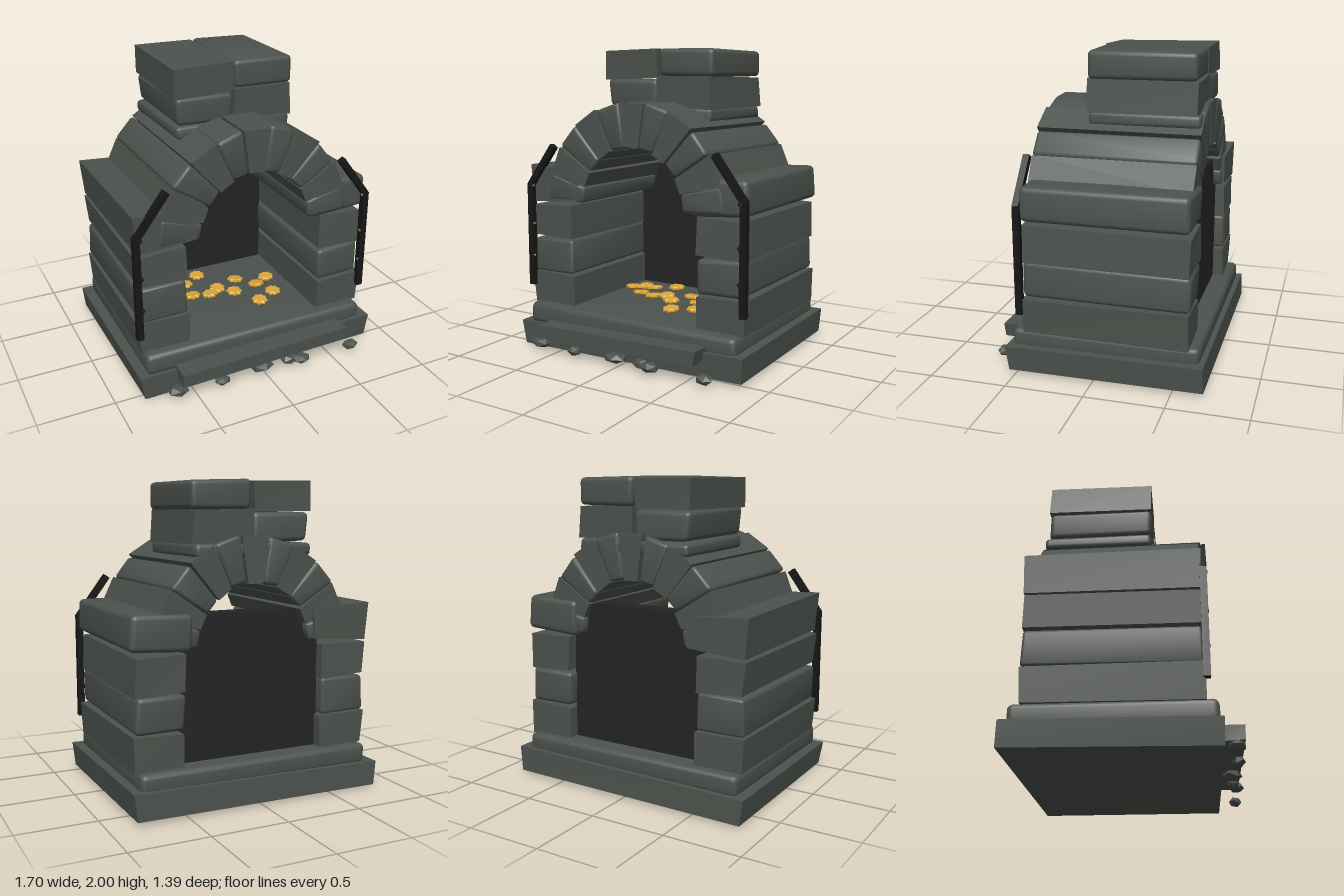
import * as THREE from 'three';
import { toCreasedNormals } from 'three/addons/utils/BufferGeometryUtils.js';
import { RoundedBoxGeometry } from 'three/addons/geometries/RoundedBoxGeometry.js';

export function createModel() {
  const root = new THREE.Group();
  const mat = (name, color) => {
    const m = new THREE.MeshStandardMaterial({ color });
    m.name = name;
    return m;
  };
  const stoneMat = mat('stone grey', 0x4c524d);
  const sootMat = mat('soot black', 0x242424);
  const ironMat = mat('iron black', 0x161616);
  const goldMat = mat('gold', 0xd9a63a);

  let seed = 7;
  const rand = () => {
    seed = (seed * 16807) % 2147483647;
    return seed / 2147483647;
  };
  const add = (name, geo, material) => {
    const m = new THREE.Mesh(geo, material);
    m.name = name;
    root.add(m);
    return m;
  };

  // A hewn stone: a box (sharp or rounded) bent onto a front outline
  // [bottom left, bottom right, top right, top left] between two depths.
  function stone(name, quad, z0, z1, round = 0, wobble = 0.007) {
    const [a, b, c, d] = quad;
    const dist = (p, q) => Math.hypot(p[0] - q[0], p[1] - q[1]);
    const w = (dist(a, b) + dist(d, c)) / 2, h = (dist(a, d) + dist(b, c)) / 2, l = z1 - z0;
    const geo = round ? new RoundedBoxGeometry(w, h, l, 3, round) : new THREE.BoxGeometry(w, h, l);
    const shake = () => (rand() - 0.5) * 2 * wobble;
    const corners = [z0, z1].map(z => quad.map(p =>
      new THREE.Vector3(p[0] + shake(), p[1] + shake(), z + shake())));
    const pos = geo.attributes.position, v = new THREE.Vector3();
    for (let i = 0; i < pos.count; i++) {
      const u = pos.getX(i) / w + 0.5, t = pos.getY(i) / h + 0.5, s = pos.getZ(i) / l + 0.5;
      const weights = [(1 - u) * (1 - t), u * (1 - t), u * t, (1 - u) * t];
      v.set(0, 0, 0);
      corners.forEach((ring, k) => ring.forEach((p, j) =>
        v.addScaledVector(p, weights[j] * (k ? s : 1 - s))));
      pos.setXYZ(i, v.x, v.y, v.z);
    }
    return add(name, toCreasedNormals(geo, 0.6), stoneMat);
  }
  const rect = (x0, y0, x1, y1) => [[x0, y0], [x1, y0], [x1, y1], [x0, y1]];

  // Plinth, hearth slab and front step
  stone('plinth', [[-0.82, 0.005], [0.83, 0.02], [0.845, 0.185], [-0.85, 0.165]], -0.695, 0.55, 0, 0.01);
  stone('hearthSlab', [[-0.785, 0.15], [0.785, 0.16], [0.785, 0.285], [-0.785, 0.29]], -0.66, 0.53, 0.035, 0.004);
  stone('frontStep', [[-0.6, 0.1], [0.58, 0.12], [0.59, 0.215], [-0.6, 0.19]], 0.5, 0.67);

  // Side walls, from the bottom course up
  const courses = [
    ['leftWallStone', [[0.48, 0.27], [0.805, 0.27], [0.81, 0.5], [0.48, 0.49]], 0],
    ['leftWallStone', [[0.475, 0.5], [0.79, 0.5], [0.79, 0.735], [0.475, 0.725]], 0.03],
    ['leftWallStone', [[0.48, 0.74], [0.79, 0.73], [0.785, 0.96], [0.475, 0.975]], 0],
    ['leftWallStone', [[0.42, 0.97], [0.815, 0.995], [0.81, 1.215], [0.42, 1.21]], 0.035],
    ['rightWallStone', [[-0.79, 0.28], [-0.465, 0.28], [-0.465, 0.49], [-0.81, 0.5]], 0],
    ['rightWallStone', [[-0.795, 0.505], [-0.475, 0.5], [-0.475, 0.735], [-0.795, 0.73]], 0.02],
    ['rightWallStone', [[-0.785, 0.75], [-0.47, 0.74], [-0.475, 0.96], [-0.805, 0.955]], 0],
    ['rightWallStone', [[-0.795, 0.98], [-0.42, 1.0], [-0.42, 1.2], [-0.82, 1.225]], 0],
  ];
  courses.forEach(([name, quad, round]) => stone(name, quad, -0.595, 0.455, round));

  // Barrel arch of full-depth wedge stones
  const count = 11, inner = 0.38, outer = 0.665;
  for (let i = 0; i < count; i++) {
    const a0 = (i / count) * Math.PI + 0.006, a1 = ((i + 1) / count) * Math.PI - 0.006;
    const at = (r, a) => [r * Math.cos(a), 0.995 + r * Math.sin(a)];
    const r = outer + (rand() - 0.5) * 0.02;
    stone('archStone', [at(inner, a1), at(inner, a0), at(r, a0), at(r, a1)],
      -0.575, 0.46, i % 2 ? 0 : 0.022, 0.006);
  }

  // Chimney: collar course and two courses of paired blocks
  stone('chimneyCollar', rect(-0.395, 1.53, -0.005, 1.61), -0.57, 0.14, 0.025);
  stone('chimneyCollar', rect(0.005, 1.53, 0.395, 1.61), -0.57, 0.14, 0.025);
  stone('chimneyStone', [[-0.38, 1.625], [-0.005, 1.615], [-0.005, 1.795], [-0.395, 1.8]], -0.54, 0.14, 0.03);
  stone('chimneyStone', [[0.0, 1.62], [0.405, 1.61], [0.39, 1.815], [0.005, 1.815]], -0.545, 0.145);
  stone('chimneyStone', [[-0.405, 1.8], [-0.01, 1.81], [-0.005, 1.99], [-0.41, 1.99]], -0.54, 0.14);
  stone('chimneyStone', [[0.01, 1.815], [0.41, 1.815], [0.41, 1.985], [0.005, 1.995]], -0.54, 0.14, 0.03, 0.004);

  // Sooty fireback
  add('fireback', new THREE.BoxGeometry(0.96, 0.91, 0.12), sootMat).position.set(0, 0.74, -0.465);

  // Iron rails with bent tops and rivets, mirrored
  for (const s of [-1, 1]) {
    const bar = (x0, y0, x1, y1) => {
      const len = Math.hypot(x1 - x0, y1 - y0);
      const m = add('ironRail', new THREE.BoxGeometry(0.042, len, 0.042), ironMat);
      m.position.set(s * (x0 + x1) / 2, (y0 + y1) / 2, 0.467);
      m.rotation.z = Math.atan2(-s * (x1 - x0), y1 - y0);
    };
    bar(0.805, 0.4, 0.805, 1.1);
    bar(0.81, 1.085, 0.605, 1.36);
    for (const y of [0.6, 0.82, 1.08]) {
      const m = add('rivet', new THREE.IcosahedronGeometry(0.02, 0), ironMat);
      m.position.set(s * 0.785, y, 0.475);
    }
  }

  // Scalloped gold pieces scattered on the hearth
  const coinSpots = [[-0.38, -0.13], [-0.31, -0.19], [-0.23, -0.18], [-0.1, -0.27], [-0.24, -0.02],
    [-0.12, 0.01], [-0.04, -0.04], [0.05, 0.05], [0.16, 0.23], [0.3, 0.16], [0.13, -0.1], [0.24, 0.02], [0.35, -0.04]];
  const coinShape = new THREE.Shape(Array.from({ length: 16 }, (_, i) => {
    const r = i % 2 ? 0.046 : 0.057, a = (i / 16) * Math.PI * 2;
    return new THREE.Vector2(r * Math.cos(a), r * Math.sin(a));
  }));
  const coinGeo = new THREE.ExtrudeGeometry(coinShape, {
    depth: 0.012, bevelThickness: 0.008, bevelSize: 0.008, bevelOffset: -0.008, bevelSegments: 1,
  }).rotateX(-Math.PI / 2);
  coinSpots.forEach(([x, z], i) => {
    const m = add('goldPiece', coinGeo, goldMat);
    m.position.set(x, 0.302, z);
    m.rotation.set((rand() - 0.5) * 0.2, i * 1.3, (rand() - 0.5) * 0.2);
  });

  // Rubble in front of the step
  const rubble = [[-0.62, 0.62, 0.065], [-0.32, 0.64, 0.05], [-0.02, 0.61, 0.075],
    [0.18, 0.62, 0.05], [0.26, 0.645, 0.06], [0.645, 0.65, 0.052]];
  rubble.forEach(([x, z, r], i) => {
    const geo = new THREE.IcosahedronGeometry(1, 0).rotateY(i * 1.1);
    const m = add('rubble', geo, stoneMat);
    m.scale.set(r * 1.15, 0.034, r * 0.85);
    m.position.set(x, 0.055, z);
  });

  return root;
}
